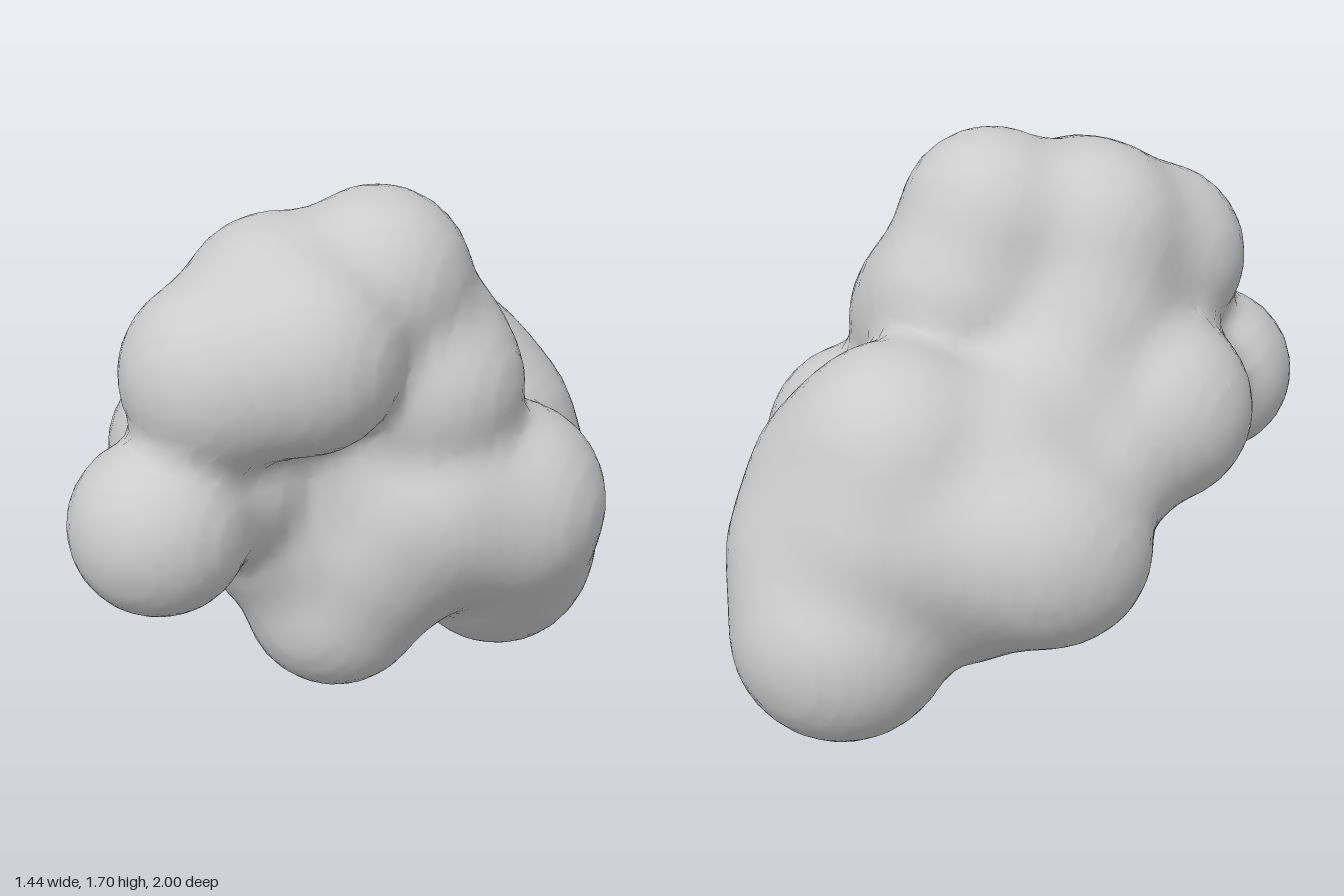
import * as THREE from 'three';

// Lobes of the blob: x, y, z, radius
const lobes = [
  [-0.34, 0.81, 0.73, 0.27],  // front ball
  [-0.30, 0.84, 0.42, 0.27],  // neck behind it
  [-0.23, 1.24, 0.55, 0.29],  // brow
  [-0.01, 1.30, 0.44, 0.30],
  [-0.15, 1.35, 0.31, 0.305],
  [-0.18, 1.12, 0.20, 0.31],
  [0.07, 1.42, 0.10, 0.285],  // crown
  [0.10, 1.20, -0.02, 0.29],
  [0.21, 1.09, 0.03, 0.29],
  [0.40, 0.67, -0.12, 0.32],  // right bulge
  [0.25, 0.72, 0.05, 0.31],
  [0.35, 0.50, -0.24, 0.30],
  [0.29, 0.37, -0.35, 0.31],  // low back
  [0.07, 0.34, -0.66, 0.34],
  [0.16, 0.54, -0.59, 0.32],
  [0.22, 0.48, -0.46, 0.32],
  [-0.06, 0.36, 0.13, 0.29],  // low front
  [0.08, 0.56, 0.08, 0.31],
  [-0.20, 0.62, 0.18, 0.30],
  [-0.41, 0.60, -0.26, 0.305], // left bulges
  [-0.35, 0.64, -0.35, 0.305],
  [-0.42, 0.86, 0.28, 0.305],
  [-0.36, 0.76, 0.02, 0.28],
  [0.01, 0.86, -0.46, 0.34],  // upper back
  [0.15, 0.72, -0.48, 0.33],
  [0.00, 0.65, -0.55, 0.32],
  [-0.19, 0.66, -0.42, 0.31],
  [-0.14, 0.50, -0.35, 0.31],
  [-0.18, 0.80, -0.25, 0.32],
  [-0.20, 0.93, 0.00, 0.29],  // core
  [-0.06, 0.82, 0.05, 0.33],
].map(([x, y, z, r]) => ({ c: new THREE.Vector3(x, y, z), r }));

const BLEND = 0.08;

// Signed distance to all lobes, blended where they meet
function distance(p) {
  let d = 10;
  for (const { c, r } of lobes) {
    const e = p.distanceTo(c) - r;
    const h = Math.max(BLEND - Math.abs(d - e), 0) / BLEND;
    d = Math.min(d, e) - h * h * BLEND * 0.25;
  }
  return d;
}

// Mesh the zero level: one vertex per crossed grid cell, one quad per crossed edge
function surfaceGeometry(step) {
  const min = new THREE.Vector3(-0.85, -0.12, -1.12);
  const n = [1.7, 1.95, 2.24].map((s) => Math.ceil(s / step));
  const stride = [1, n[0], n[0] * n[1]];
  const at = (i, j, k) => i + j * stride[1] + k * stride[2];
  const field = new Float32Array(n[0] * n[1] * n[2]);
  const point = (i, j, k) => new THREE.Vector3(i, j, k).multiplyScalar(step).add(min);
  const eachCell = (fn, margin) => {
    for (let k = 0; k < n[2] - margin; k++)
      for (let j = 0; j < n[1] - margin; j++)
        for (let i = 0; i < n[0] - margin; i++) fn(i, j, k);
  };
  eachCell((i, j, k) => { field[at(i, j, k)] = distance(point(i, j, k)); }, 0);

  const vertexOf = new Map();
  const positions = [];
  const indices = [];
  eachCell((i, j, k) => {
    const sum = new THREE.Vector3();
    let count = 0;
    for (let corner = 0; corner < 8; corner++) {
      const o = [corner & 1, (corner >> 1) & 1, corner >> 2];
      const a = field[at(i + o[0], j + o[1], k + o[2])];
      for (let axis = 0; axis < 3; axis++) {
        if (o[axis]) continue;
        const q = [...o];
        q[axis] = 1;
        const b = field[at(i + q[0], j + q[1], k + q[2])];
        if ((a < 0) === (b < 0)) continue;
        q[axis] = a / (a - b);
        sum.add(new THREE.Vector3(...q));
        count++;
      }
    }
    if (!count) return;
    sum.divideScalar(count);
    const p = point(i + sum.x, j + sum.y, k + sum.z);
    vertexOf.set(at(i, j, k), positions.length / 3);
    positions.push(p.x, p.y, p.z);
  }, 1);

  eachCell((i, j, k) => {
    const id = at(i, j, k);
    for (let axis = 0; axis < 3; axis++) {
      const inside = field[id] < 0;
      if (inside === field[id + stride[axis]] < 0) continue;
      const u = stride[(axis + 1) % 3];
      const v = stride[(axis + 2) % 3];
      const [a, b, c, d] = [id - u - v, id - v, id, id - u].map((x) => vertexOf.get(x));
      if (inside) indices.push(a, b, c, a, c, d);
      else indices.push(a, c, b, a, d, c);
    }
  }, 1);

  const g = new THREE.BufferGeometry();
  g.setAttribute('position', new THREE.Float32BufferAttribute(positions, 3));
  g.setIndex(indices);
  g.computeVertexNormals();
  return g;
}

export function createModel() {
  const group = new THREE.Group();
  group.name = 'blob';
  const surface = new THREE.Mesh(
    surfaceGeometry(0.04),
    new THREE.MeshStandardMaterial({ color: 0xcccccc })
  );
  surface.name = 'lobedSurface';
  group.add(surface);
  return group;
}
